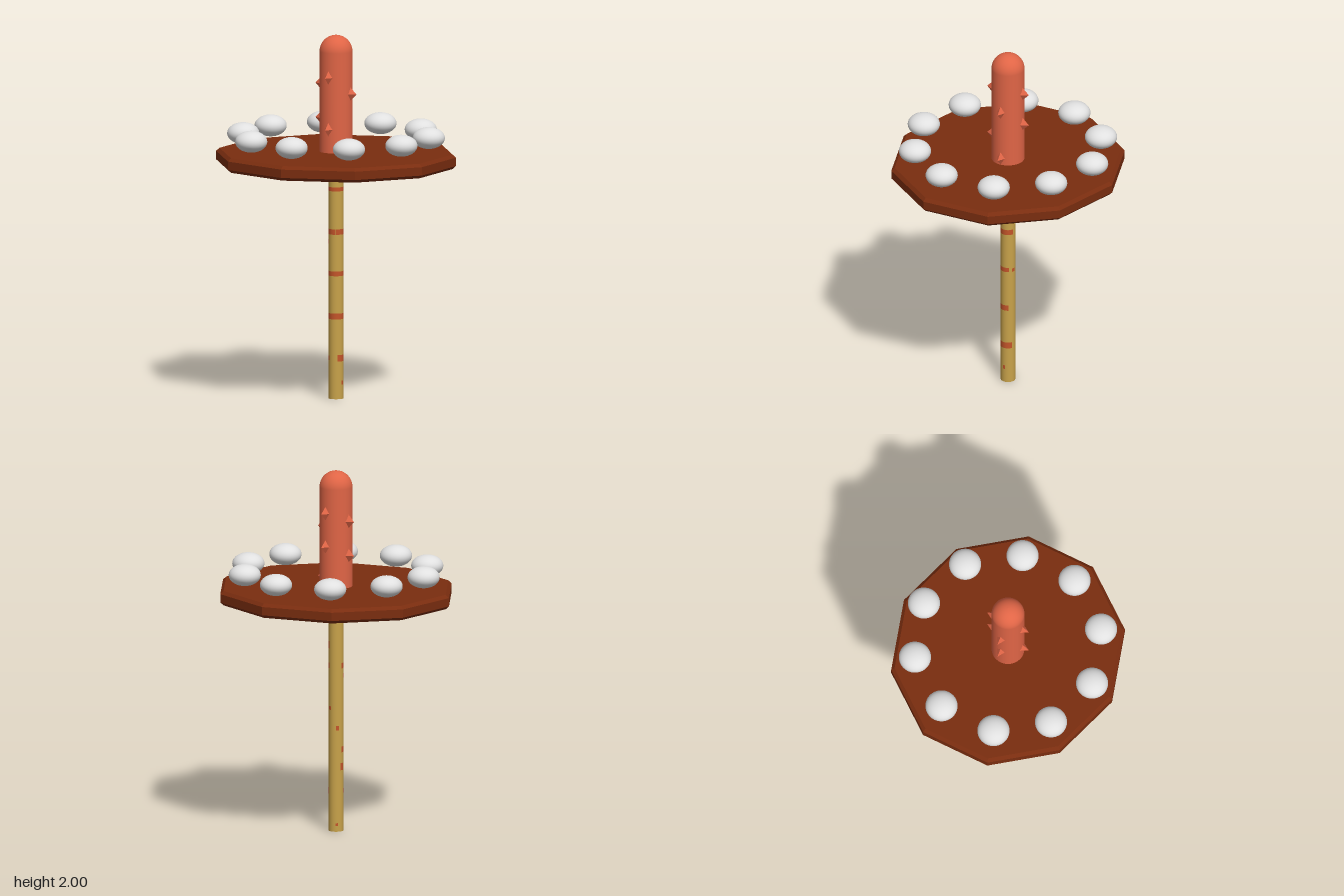
import * as THREE from 'three';

const mat = (name, color, opts = {}) => {
  const m = new THREE.MeshStandardMaterial({ color, ...opts });
  m.name = name;
  return m;
};

export function createModel() {
  const model = new THREE.Group();
  const brown = mat('brown wood', 0x7a2d0f, { flatShading: true });
  const coral = mat('coral', 0xe06546);
  const coralFlat = mat('coral facets', 0xe06546, { flatShading: true });
  const white = mat('white', 0xe0e0e0);
  const tan = mat('tan', 0xc8a24a);
  const rust = mat('rust', 0xc4552a, { side: THREE.DoubleSide });

  const add = (name, geometry, material, parent = model) => {
    const mesh = new THREE.Mesh(geometry, material);
    mesh.name = name;
    parent.add(mesh);
    return mesh;
  };
  const profile = (pts) => pts.map(([x, y]) => new THREE.Vector2(x, y));

  // Ten-sided tray with chamfered rims, slightly wider across x
  const tray = add('tray', new THREE.LatheGeometry(profile([
    [0, 1.28], [0.617, 1.28], [0.635, 1.297], [0.635, 1.343], [0.617, 1.36], [0, 1.36],
  ]), 10), brown);
  tray.scale.x = 1.052;

  // Slim pole
  add('pole', new THREE.CylinderGeometry(0.04, 0.04, 1.285, 32), tan).position.y = 0.6425;

  // Painted marks: height, band height, start and end angle in degrees (0 = front, 90 = left)
  const marks = new THREE.Group();
  marks.name = 'poleMarks';
  model.add(marks);
  [
    [1.155, 0.022, -50, 110], [0.92, 0.03, -95, 160], [0.69, 0.026, -60, 125],
    [0.455, 0.032, -95, 120], [0.225, 0.036, 40, 150], [0.225, 0.025, -75, -35],
    [0.865, 0.025, -75, -40], [1.035, 0.04, 115, 155], [0.36, 0.04, -105, -70],
    [0.575, 0.025, -140, -115], [0.685, 0.02, 150, 175], [0.09, 0.022, 75, 95],
    [0.04, 0.015, -145, -125],
  ].forEach(([y, h, a, b]) => {
    const rad = Math.PI / 180;
    add('mark', new THREE.CylinderGeometry(0.0406, 0.0406, h, 12, 1, true, a * rad, (b - a) * rad),
      rust, marks).position.y = y;
  });

  // Round-topped column
  const dome = [[0.09, 1.35]];
  for (let i = 0; i <= 12; i++) {
    const a = (i / 12) * Math.PI / 2;
    dome.push([Math.max(0, 0.09 * Math.cos(a)), 1.91 + 0.09 * Math.sin(a)]);
  }
  add('column', new THREE.LatheGeometry(profile(dome), 40), coral);

  // Thorns on the column: quarter turn from the front, height
  const thornShape = new THREE.ConeGeometry(0.062, 0.062, 4);
  thornShape.rotateX(Math.PI / 2).scale(0.6, 1, 1).translate(0, 0, 0.096);
  [[0, 1.775], [0, 1.49], [2, 1.775], [2, 1.59], [3, 1.73], [3, 1.54], [1, 1.68], [1, 1.4]]
    .forEach(([turn, y]) => {
      const thorn = add('thorn', thornShape, coralFlat);
      thorn.position.y = y;
      thorn.rotation.y = turn * Math.PI / 2;
    });

  // Ring of ten flattened balls hovering over the tray
  const ball = new THREE.SphereGeometry(0.088, 32, 20);
  for (let i = 0; i < 10; i++) {
    const a = (i / 10) * Math.PI * 2;
    const b = add('ball', ball, white);
    b.position.set(0.513 * Math.sin(a), 1.446, 0.513 * Math.cos(a));
    b.scale.y = 0.67;
  }
  return model;
}
